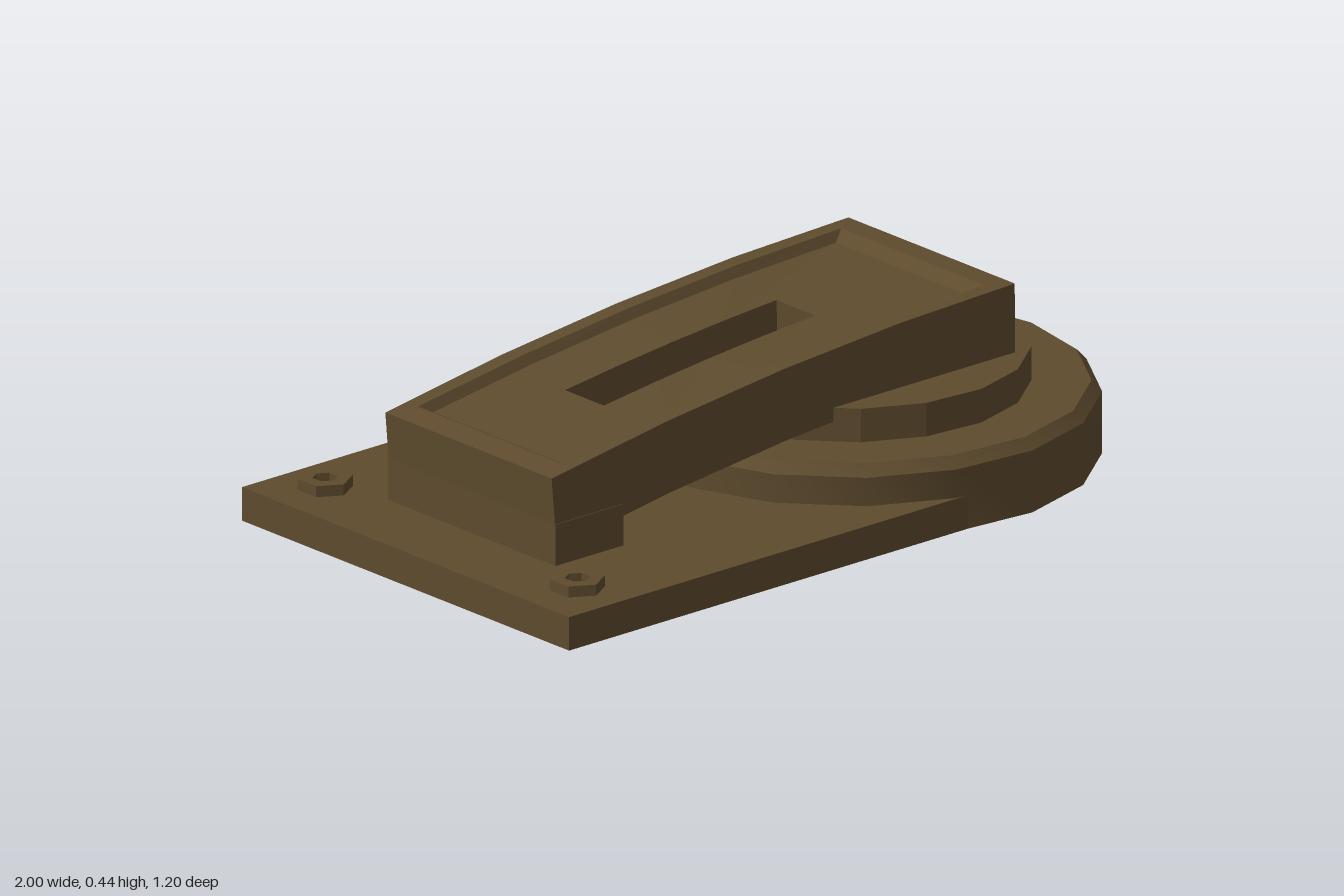
import * as THREE from 'three';
import { toCreasedNormals } from 'three/addons/utils/BufferGeometryUtils.js';

const DISC_X = 0.395, SIDES = 17;

// Arched height of the lever's top and its slope
const archY = (x) => { const t = (x + 0.07) / 0.73; return 0.407 + 0.0675 * t - 0.0295 * t * t; };
const archSlope = (x) => (0.0675 - 0.059 * (x + 0.07) / 0.73) / 0.73;

// Rectangular loop that follows the arch, sunk below it by depth
function archLoop([x0, x1, halfWidth, depth], segments = 4) {
  const loop = [];
  for (const side of [1, -1]) {
    for (let i = 0; i <= segments; i++) {
      const t = side > 0 ? i / segments : 1 - i / segments;
      const x = x0 + (x1 - x0) * t;
      loop.push([x + archSlope(x) * depth * 0.5, archY(x) - depth, side * halfWidth]);
    }
  }
  return loop;
}

// Skin between successive loops
function loft(loops) {
  const n = loops[0].length, index = [];
  for (let k = 0; k < loops.length - 1; k++) {
    for (let i = 0; i < n; i++) {
      const a = k * n + i, b = k * n + (i + 1) % n;
      index.push(a, b, b + n, a, b + n, a + n);
    }
  }
  const geometry = new THREE.BufferGeometry();
  geometry.setAttribute('position', new THREE.Float32BufferAttribute(loops.flat(2), 3));
  geometry.setIndex(index);
  const flat = geometry.toNonIndexed();
  flat.computeVertexNormals();
  return flat;
}

// Hexagon path with corners towards front and back
function hexagon(path, radius) {
  const points = [];
  for (let i = 0; i < 6; i++) {
    const a = Math.PI / 2 + i * Math.PI / 3;
    points.push(new THREE.Vector2(radius * Math.cos(a), radius * Math.sin(a)));
  }
  return path.setFromPoints(points);
}

export function createModel() {
  const model = new THREE.Group();
  const smooth = new THREE.MeshStandardMaterial({ color: 0x5e4b2e });
  const faceted = smooth.clone();
  faceted.flatShading = true;

  const add = (name, geometry, x, y, z, material = faceted) => {
    const mesh = new THREE.Mesh(geometry, material);
    mesh.name = name;
    mesh.position.set(x, y, z);
    model.add(mesh);
  };

  // Base plate, ending inside the round base
  add('basePlate', new THREE.BoxGeometry(1.395, 0.085, 1.18), -0.3025, 0.0425, -0.005);

  // Round base with a bevelled top edge
  const profile = [[0, 0], [0.605, 0], [0.605, 0.157], [0.58, 0.185], [0, 0.185]]
    .map(([r, y]) => new THREE.Vector2(r, y));
  add('roundBase', toCreasedNormals(new THREE.LatheGeometry(profile, SIDES, Math.PI / 2), 0.5),
    DISC_X, 0, 0, smooth);

  // Stacked turntable discs under the lever
  const disc = (radius, height) =>
    new THREE.CylinderGeometry(radius, radius, height, SIDES, 1, false, Math.PI / 2);
  add('turntable', disc(0.437, 0.09), DISC_X, 0.225, 0);
  add('hub', disc(0.282, 0.03), DISC_X, 0.28, 0);

  // Support block at the lever's rear end
  add('supportBlock', new THREE.BoxGeometry(0.215, 0.105, 0.604), -0.6875, 0.1375, 0);

  // Arched lever: underside, walls, rim, bevelled recess, then the slot
  const loops = [
    [-0.805, 0.66, 0, 0.183],
    [-0.805, 0.66, 0.3, 0.183],
    [-0.805, 0.66, 0.3, 0],
    [-0.74, 0.6, 0.257, 0],
    [-0.705, 0.57, 0.243, 0.025],
    [-0.44, 0.23, 0.07, 0.025],
    [-0.44, 0.23, 0.07, 0.11],
    [-0.44, 0.23, 0, 0.11],
  ];
  add('lever', loft(loops.map((l) => archLoop(l))), 0, 0, 0);

  // Hexagonal nuts at the two corners
  const nutShape = hexagon(new THREE.Shape(), 0.067);
  nutShape.holes.push(hexagon(new THREE.Path(), 0.031));
  const nut = new THREE.ExtrudeGeometry(nutShape, { depth: 0.028, bevelEnabled: false });
  nut.rotateX(-Math.PI / 2);
  add('leftNut', nut, -0.855, 0.085, -0.46);
  add('rightNut', nut, -0.855, 0.085, 0.45);

  return model;
}
